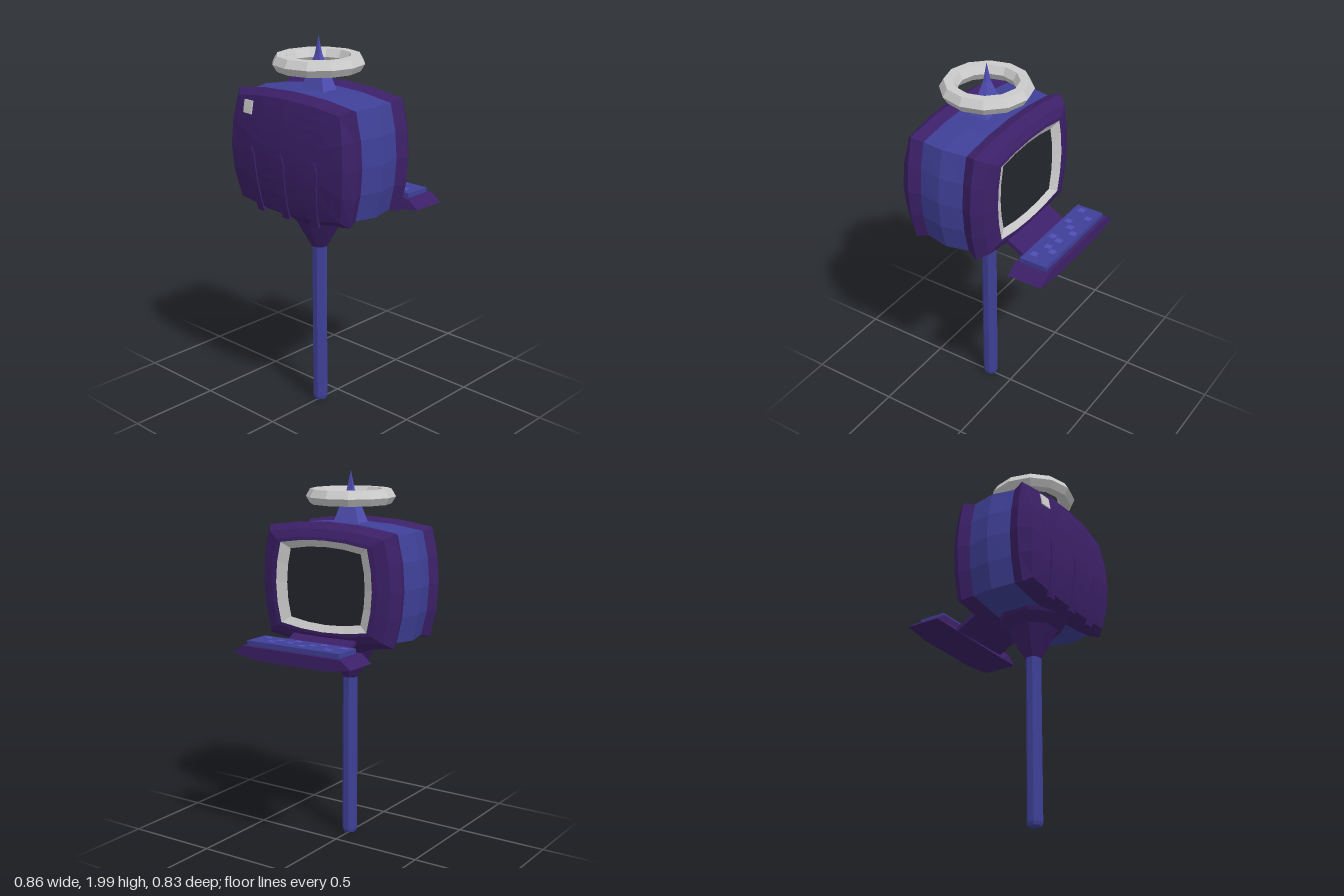
import * as THREE from 'three';

const mat = (color) => new THREE.MeshStandardMaterial({ color, flatShading: true });
const purple = mat(0x3c2068), blue = mat(0x3f4098), lightBlue = mat(0x504eb4);
const grey = mat(0xcccccc), dark = mat(0x23262c);
const CY = 1.42, CZ = 0.137; // body centre height, pole axis depth

// Bulging rectangle, counter-clockwise seen from the front
function outline() {
  const pts = [], n = 4;
  const side = (t) => [0.43 - 0.045 * t * t, 0.29 * t];
  const top = (t) => [0.385 * t, 0.325 - 0.035 * t * t];
  for (let i = 0; i < n; i++) pts.push(side(-1 + (2 * i) / n));
  for (let i = 0; i < n; i++) pts.push(top(1 - (2 * i) / n));
  return pts.concat(pts.map(([x, y]) => [-x, -y]));
}
const OUTLINE = outline();

// Domed front of the body
const domeZ = (x, y) => 0.41 - 0.03 * (x / 0.39) ** 2 - 0.035 * (y / 0.29) ** 2;

// Skin between scaled copies of the outline: [z or rule, scale x, scale y]
function loft(rings) {
  const pos = [], idx = [], n = OUTLINE.length;
  rings.forEach(([z, sx, sy], i) => {
    OUTLINE.forEach(([px, py], j) => {
      const x = px * sx, y = py * sy;
      pos.push(x, y + CY, typeof z === 'number' ? z : z(x, y));
      if (i === rings.length - 1) return;
      const a = i * n + j, b = i * n + ((j + 1) % n);
      idx.push(a, b, b + n, a, b + n, a + n);
    });
  });
  const g = new THREE.BufferGeometry();
  g.setAttribute('position', new THREE.Float32BufferAttribute(pos, 3));
  g.setIndex(idx);
  g.computeVertexNormals();
  return g;
}

// Box laid over the domed front, with an adjustable vertex rule
function domeBox(w, h, d, x0, y0, rule) {
  const g = new THREE.BoxGeometry(w, h, d, 2, 8, 1), p = g.attributes.position;
  for (let i = 0; i < p.count; i++) {
    const [lx, ly] = rule ? rule(p.getX(i), p.getY(i)) : [p.getX(i), p.getY(i)];
    const x = lx + x0, y = ly + y0;
    p.setXYZ(i, x, y, domeZ(x, y - CY) + p.getZ(i));
  }
  g.computeVertexNormals();
  return g;
}

const lathe = (pts, sides, phi = 0) =>
  new THREE.LatheGeometry(pts.map(([r, y]) => new THREE.Vector2(r, y)), sides, phi);

export function createModel() {
  const model = new THREE.Group();
  const add = (name, geometry, material, x = 0, y = 0, z = 0) => {
    const m = new THREE.Mesh(geometry, material);
    m.name = name;
    m.position.set(x, y, z);
    model.add(m);
    return m;
  };

  // Body: screen, bezel, back rim, middle band and domed front
  add('screen', loft([[-0.1, 0, 0], [-0.1, 0.56, 0.62]]), dark);
  add('screenBezel', loft([[-0.1, 0.56, 0.62], [-0.122, 0.69, 0.73]]), grey);
  add('backRim', loft([[-0.122, 0.69, 0.73], [-0.12, 0.76, 0.78], [-0.1, 0.91, 0.9],
    [-0.05, 1, 1], [0.01, 0.945, 0.94]]), purple);
  add('middleBand', loft([[0.01, 0.945, 0.94], [0.135, 1, 0.965], [0.26, 0.945, 0.94]]), blue);
  const dome = [0.905, 0.75, 0.6, 0.4, 0.2, 0].map((s) => [domeZ, s, s]);
  add('frontShell', loft([[0.26, 0.945, 0.94], [0.32, 1, 1], ...dome]), purple);

  // Front ribs, leaning inward toward the bottom, with rounded tops
  for (const s of [-1, 0, 1]) {
    add('frontRib', domeBox(0.05, 0.335, 0.014, s * 0.205, 1.272, (x, y) => {
      const t = y / 0.335 + 0.5;
      return [x * (t > 0.95 ? 0.4 : 1) + s * 0.03 * (t - 0.5), y];
    }), purple);
  }
  add('frontLight', domeBox(0.065, 0.065, 0.012, -0.257, 1.638), grey);

  // Pole and funnel
  add('pole', lathe([[0, 0.005], [0.036, 0.012], [0.041, 0.03], [0.041, 0.93]], 8, Math.PI / 8), blue, 0, 0, CZ);
  add('funnel', lathe([[0, 0.9], [0.043, 0.9], [0.13, 1.055], [0.18, 1.1], [0.2, 1.14]], 8, Math.PI / 8), purple, 0, 0, CZ);

  // Four-sided spike and the ring around it
  const spike = add('spike', lathe([[0.113, 1.72], [0.06, 1.83], [0.024, 1.9], [0, 1.997]], 4, Math.PI / 4), lightBlue, 0, 0, CZ);
  spike.scale.z = 0.62;
  add('ring', lathe([[0.212, 1.825], [0.235, 1.862], [0.212, 1.902], [0.165, 1.902],
    [0.143, 1.862], [0.165, 1.825], [0.212, 1.825]], 12), grey, 0, 0, CZ);

  // Keyboard arm
  const arm = add('keyboardArm', new THREE.BoxGeometry(0.385, 0.022, 0.16), purple, 0, 1.125, -0.15);
  arm.rotation.x = -0.5;

  // Keyboard tray with sloped ends; its lower inner edge juts toward the body
  const section = new THREE.Shape([[-0.36, 1.085], [-0.2, 1.063], [0.2, 1.063], [0.36, 1.085],
    [0.3, 1.13], [-0.3, 1.13]].map(([x, y]) => new THREE.Vector2(x, y)));
  const tray = new THREE.ExtrudeGeometry(section, { depth: 0.19, bevelEnabled: false });
  const p = tray.attributes.position;
  for (let i = 0; i < p.count; i++) {
    if (p.getZ(i) > 0.1 && p.getY(i) < 1.07) p.setZ(i, 0.215);
  }
  tray.computeVertexNormals();
  add('keyboardTray', tray, purple, 0, 0, -0.41);
  add('keyboardPanel', new THREE.BoxGeometry(0.565, 0.03, 0.15), blue, 0, 1.14, -0.315);

  // Keys
  const keys = [[-0.24, -0.287], [-0.19, -0.353], [-0.12, -0.28], [-0.073, -0.315], [-0.033, -0.355],
    [0.04, -0.282], [0.058, -0.328], [0.13, -0.31], [0.157, -0.35], [0.222, -0.285]];
  for (const [x, z] of keys) add('key', new THREE.BoxGeometry(0.035, 0.008, 0.034), lightBlue, x, 1.155, z);

  return model;
}
